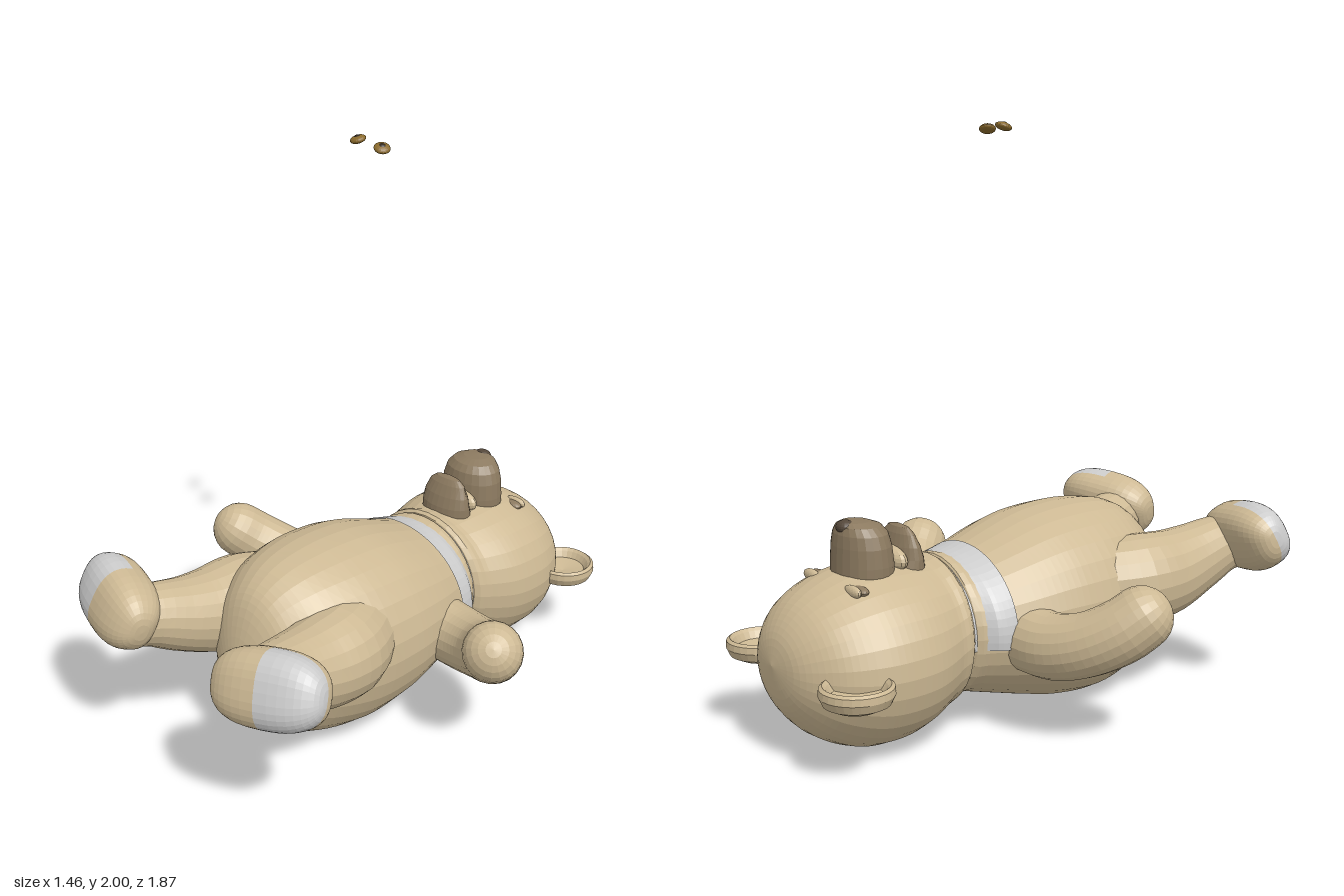
import * as THREE from 'three';

const TAN = 0xcdb994, BROWN = 0x8c7a60, DARK = 0x54473a, GREY = 0xcccccc;
const V = (x, y, z) => new THREE.Vector3(x, y, z);

// Skin over a list of rings; each ring has the same number of points
function skin(rings) {
  const n = rings[0].length, pos = [], idx = [];
  rings.forEach(r => r.forEach(p => pos.push(p.x, p.y, p.z)));
  for (let i = 0; i < rings.length - 1; i++) for (let j = 0; j < n - 1; j++) {
    const a = i * n + j, b = a + 1, c = a + n, d = c + 1;
    idx.push(a, b, d, a, d, c);
  }
  const g = new THREE.BufferGeometry();
  g.setAttribute('position', new THREE.Float32BufferAttribute(pos, 3));
  g.setIndex(idx);
  g.computeVertexNormals();
  return g;
}

// Ring around centre c, from axis n toward axis b
function ring(c, n, b, rn, rb, sides = 28, from = 0, to = Math.PI * 2) {
  return Array.from({ length: sides + 1 }, (_, j) => {
    const t = from + (to - from) * j / sides;
    return c.clone().addScaledVector(n, Math.cos(t) * rn).addScaledVector(b, Math.sin(t) * rb);
  });
}

// Rounded body along -z; rows are [z, half width, bottom y, top y]
function bodyLoft(rows, steps, from, to) {
  const zw = new THREE.SplineCurve(rows.map(r => new THREE.Vector2(r[0], r[1])));
  const yy = new THREE.SplineCurve(rows.map(r => new THREE.Vector2(r[2], r[3])));
  const rings = [];
  for (let i = 0; i <= steps; i++) {
    const p = zw.getPoint(i / steps), q = yy.getPoint(i / steps);
    rings.push(ring(V(0, (q.x + q.y) / 2, p.x), V(0, 1, 0), V(1, 0, 0),
      Math.max(0, q.y - q.x) / 2, Math.max(0, p.y), 32, from, to));
  }
  return skin(rings);
}

// Stack of ellipses going up; rows are [y, centre z, half width, half depth]
const stack = rows => skin(rows.map(([y, z, rx, rz]) =>
  ring(V(0, y, z), V(0, 0, 1), V(1, 0, 0), rz, rx, 24)));

// Limb with a round end; rows are [x, y, z, radius]
function limb(rows, steps) {
  const curve = new THREE.CatmullRomCurve3(rows.map(r => V(r[0], r[1], r[2])));
  const f = curve.computeFrenetFrames(steps), rings = [];
  const put = (p, k, r) => rings.push(ring(p, f.normals[k], f.binormals[k], r, r, 20));
  for (let i = 0; i <= steps; i++) {
    const u = i / steps, t = curve.getUtoTmapping(u) * (rows.length - 1);
    const a = Math.min(Math.floor(t), rows.length - 2);
    put(curve.getPointAt(u), i, THREE.MathUtils.lerp(rows[a][3], rows[a + 1][3], t - a));
  }
  const end = curve.getPointAt(1), r = rows[rows.length - 1][3];
  for (let k = 1; k <= 6; k++) {
    const t = k / 6 * Math.PI / 2;
    put(end.clone().addScaledVector(f.tangents[steps], r * Math.sin(t)), steps, r * Math.cos(t));
  }
  return skin(rings);
}

const blob = (x, y, z, rx, ry, rz) =>
  new THREE.SphereGeometry(1, 18, 12).scale(rx, ry, rz).translate(x, y, z);

// Boxy ellipsoid foot, local x toward the toe and z toward the sole; split in fur and pad
function foot(wantPad) {
  const g = new THREE.SphereGeometry(1, 32, 20).rotateZ(Math.PI / 2);
  const p = g.attributes.position, soft = v => Math.sign(v) * Math.abs(v) ** 0.78;
  for (let i = 0; i < p.count; i++) p.setXYZ(i, soft(p.getX(i)), soft(p.getY(i)), soft(p.getZ(i)));
  const src = g.index.array, keep = [];
  for (let i = 0; i < src.length; i += 3) {
    const t = [src[i], src[i + 1], src[i + 2]];
    const x = t.reduce((s, k) => s + p.getX(k), 0) / 3, z = t.reduce((s, k) => s + p.getZ(k), 0) / 3;
    if ((x > 0.05 && z > 0) === wantPad) keep.push(...t);
  }
  g.setIndex(keep);
  const n = V(0.2, 0.42, 0.88).normalize(), u = V(0.95, 0.12, -0.27).normalize();
  const v = n.clone().cross(u).normalize();
  g.scale(0.2, 0.125, 0.1);
  g.applyMatrix4(new THREE.Matrix4().makeBasis(u, v, n).setPosition(0.375, 0.555, 0.8));
  return g;
}

// Mirrored copy across x with the winding restored
function mirrored(g) {
  const m = g.clone().scale(-1, 1, 1), a = m.index.array;
  for (let i = 0; i < a.length; i += 3) [a[i], a[i + 1]] = [a[i + 1], a[i]];
  m.computeVertexNormals();
  return m;
}

export function createModel() {
  const bear = new THREE.Group();
  bear.name = 'bear';
  const add = (name, geo, color, side = THREE.FrontSide) => {
    const mesh = new THREE.Mesh(geo, new THREE.MeshStandardMaterial({ color, flatShading: true, side }));
    mesh.name = name;
    bear.add(mesh);
    return mesh;
  };
  const pair = (name, geo, color, side) => {
    add(name + 'Left', geo, color, side);
    add(name + 'Right', mirrored(geo), color, side);
  };

  // Torso lying on its back
  add('torso', bodyLoft([
    [0.62, 0, 0.32, 0.32], [0.605, 0.09, 0.21, 0.44], [0.56, 0.17, 0.13, 0.57], [0.5, 0.225, 0.08, 0.64],
    [0.4, 0.295, 0.03, 0.685], [0.25, 0.35, 0.005, 0.70], [0.1, 0.36, 0.015, 0.69], [0, 0.352, 0.035, 0.67],
    [-0.1, 0.332, 0.06, 0.637], [-0.2, 0.3, 0.085, 0.6], [-0.27, 0.275, 0.103, 0.58],
    [-0.34, 0.225, 0.12, 0.565], [-0.37, 0, 0.33, 0.33]], 48), TAN);

  // Collar over the upper half of the neck
  add('collar', bodyLoft([
    [-0.2, 0.305, 0.08, 0.605], [-0.24, 0.3, 0.09, 0.592], [-0.27, 0.29, 0.1, 0.585],
    [-0.3, 0.262, 0.105, 0.578], [-0.34, 0.242, 0.1, 0.576]], 8, -1.72, 1.72), GREY, THREE.DoubleSide);

  // Head
  add('head', bodyLoft([
    [-0.31, 0, 0.33, 0.33], [-0.33, 0.235, 0.105, 0.57], [-0.4, 0.28, 0.06, 0.58], [-0.5, 0.323, 0.02, 0.59],
    [-0.6, 0.335, 0.005, 0.592], [-0.7, 0.324, 0.015, 0.577], [-0.8, 0.28, 0.06, 0.537],
    [-0.87, 0.215, 0.12, 0.485], [-0.92, 0.125, 0.2, 0.41], [-0.94, 0, 0.32, 0.32]], 40), TAN);

  // Cupped ears
  const cup = [[0, -0.04], [0.07, -0.037], [0.105, -0.02], [0.118, 0.008], [0.116, 0.03],
    [0.105, 0.038], [0.094, 0.028], [0.08, 0.005], [0, -0.008]].map(p => new THREE.Vector2(...p));
  pair('ear', new THREE.LatheGeometry(cup, 28).translate(0.303, 0.28, -0.815), TAN);

  // Muzzle, mouth, jaw and nose
  add('muzzle', stack([[0.5, -0.605, 0.125, 0.1], [0.6, -0.605, 0.125, 0.095], [0.66, -0.607, 0.12, 0.09],
    [0.7, -0.61, 0.108, 0.083], [0.725, -0.617, 0.085, 0.07], [0.738, -0.628, 0.05, 0.045],
    [0.742, -0.64, 0, 0]]), BROWN);
  add('jaw', stack([[0.5, -0.465, 0.11, 0.085], [0.6, -0.453, 0.105, 0.055], [0.64, -0.456, 0.098, 0.044],
    [0.68, -0.46, 0.08, 0.028], [0.7, -0.462, 0.055, 0.016], [0.71, -0.465, 0, 0]]), BROWN);
  add('mouth', blob(0, 0.6, -0.505, 0.105, 0.045, 0.035), TAN);
  add('nose', blob(0, 0.722, -0.665, 0.036, 0.024, 0.03), DARK);

  // Empty sockets under heavy lids
  pair('eyeSocket', blob(0.13, 0.545, -0.695, 0.042, 0.016, 0.024), BROWN);
  pair('eyelid', blob(0.128, 0.547, -0.718, 0.046, 0.02, 0.016), TAN);

  // Arms
  pair('arm', limb([[0.22, 0.32, -0.12, 0.115], [0.38, 0.315, -0.11, 0.11], [0.5, 0.345, -0.07, 0.105],
    [0.59, 0.4, -0.005, 0.105], [0.627, 0.442, 0.04, 0.103]], 18), TAN);

  // Legs and feet
  pair('leg', limb([[0.19, 0.42, 0.27, 0.165], [0.245, 0.43, 0.38, 0.165], [0.255, 0.44, 0.5, 0.152],
    [0.265, 0.47, 0.62, 0.13], [0.285, 0.51, 0.74, 0.108], [0.3, 0.52, 0.8, 0.1]], 18), TAN);
  pair('foot', foot(false), TAN);
  pair('footPad', foot(true), GREY);

  // Loose glass eyes hovering above
  [[-0.195, 1.982, -0.178, 0.12], [-0.027, 1.986, -0.115, -0.35]].forEach(([x, y, z, tilt], i) => {
    const parts = [add('looseEye' + (i + 1), blob(0, 0, 0, 0.028, 0.013, 0.028), 0x8a6a2c),
      add('loosePupil' + (i + 1), blob(0, 0.008, 0, 0.013, 0.007, 0.013), 0x2e2418)];
    parts.forEach(m => { m.position.set(x, y, z); m.rotation.set(0.25, 0, tilt); });
  });
  return bear;
}
